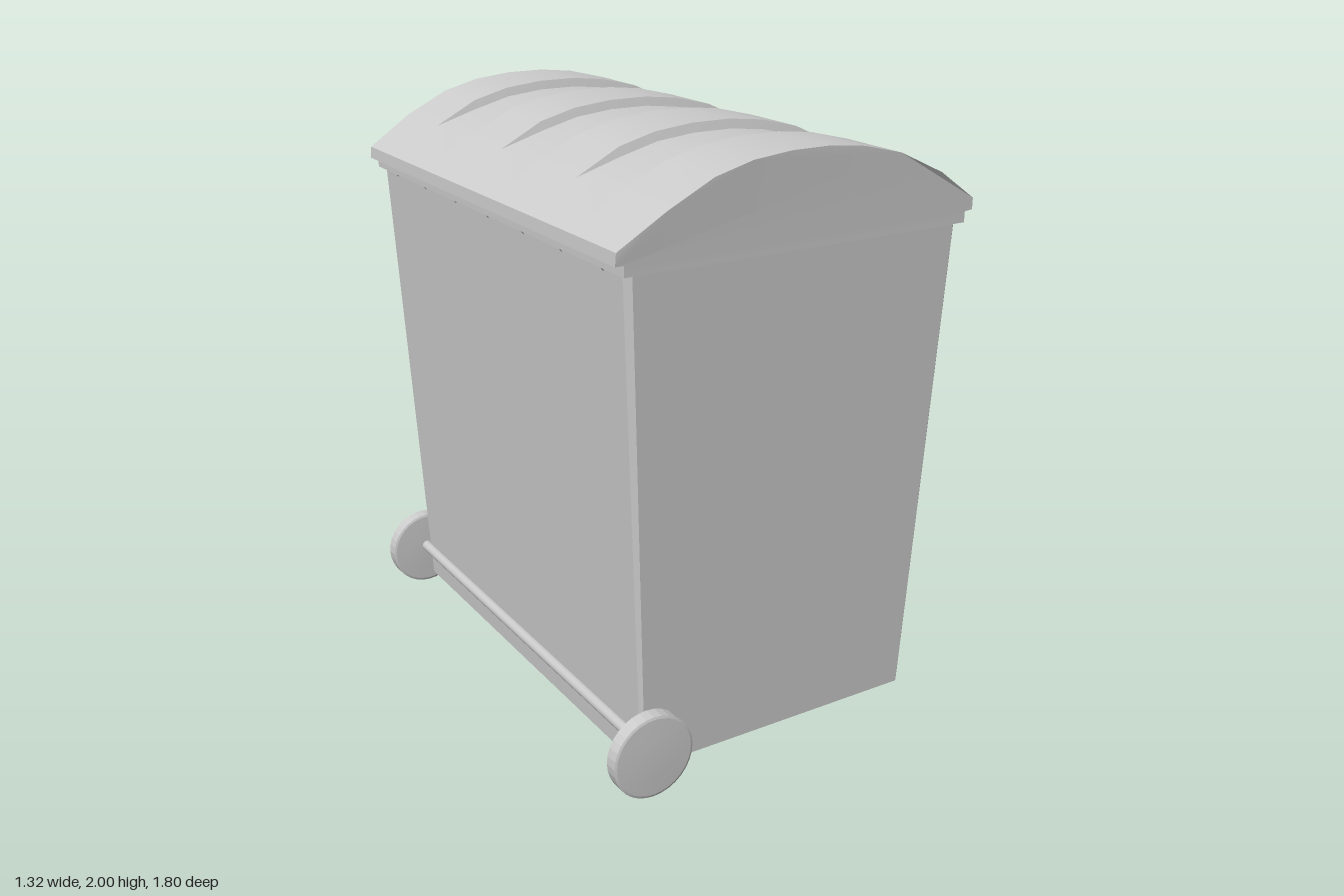
import * as THREE from 'three';
import { toCreasedNormals } from 'three/addons/utils/BufferGeometryUtils.js';
import { ConvexGeometry } from 'three/addons/geometries/ConvexGeometry.js';

const material = new THREE.MeshStandardMaterial({ color: 0xcccccc });

function add(parent, name, geometry, x = 0, y = 0, z = 0) {
  const mesh = new THREE.Mesh(geometry, material);
  mesh.name = name;
  mesh.position.set(x, y, z);
  parent.add(mesh);
  return mesh;
}

// Rectangle with cut corners at height y
function ring(y, x0, x1, z, cut) {
  const points = [];
  for (const s of [-1, 1]) {
    points.push(new THREE.Vector3(x0, y, s * (z - cut)), new THREE.Vector3(x0 + cut, y, s * z));
    points.push(new THREE.Vector3(x1, y, s * (z - cut)), new THREE.Vector3(x1 - cut, y, s * z));
  }
  return points;
}

// Arched lid: one closed cross-section swept along z, pressed in at three recesses
function lidGeometry() {
  const section = [
    [-0.615, 1.7], [-0.615, 1.735], [-0.643, 1.735], [-0.64, 1.775],
    [-0.485, 1.875], [-0.33, 1.952], [-0.2, 1.986], [-0.065, 2],
    [0.075, 2], [0.2, 1.986], [0.34, 1.952], [0.505, 1.875],
    [0.655, 1.775], [0.655, 1.738], [0.625, 1.735], [0.625, 1.7],
  ];
  const stations = [{ z: -0.9, drop: 0 }];
  for (const c of [-0.513, -0.004, 0.508]) {
    stations.push({ z: c - 0.13, drop: 0 }, { z: c - 0.121, drop: 0.03 });
    stations.push({ z: c + 0.121, drop: 0.03 }, { z: c + 0.13, drop: 0 });
  }
  stations.push({ z: 0.9, drop: 0 });

  const n = section.length;
  const positions = [];
  const index = [];
  for (const { z, drop } of stations) {
    for (const [x, y] of section) {
      const corner = Math.abs(z) === 0.9 && Math.abs(x) > 0.6 ? 0.015 : 0;
      positions.push(x, y - (Math.abs(x) < 0.4 ? drop : 0), z - Math.sign(z) * corner);
    }
  }
  for (let j = 0; j < stations.length - 1; j++) {
    for (let i = 0; i < n; i++) {
      const a = j * n + i, b = j * n + (i + 1) % n;
      index.push(a, a + n, b, b, a + n, b + n);
    }
  }
  // End walls
  const outline = section.map(([x, y]) => new THREE.Vector2(x, y));
  const last = (stations.length - 1) * n;
  for (const [a, b, c] of THREE.ShapeUtils.triangulateShape(outline, [])) {
    const facesFront = THREE.ShapeUtils.area([outline[a], outline[b], outline[c]]) > 0;
    const [p, q] = facesFront ? [b, c] : [c, b];
    index.push(last + a, last + p, last + q, a, q, p);
  }
  const geometry = new THREE.BufferGeometry();
  geometry.setAttribute('position', new THREE.Float32BufferAttribute(positions, 3));
  geometry.setIndex(index);
  return toCreasedNormals(geometry, 0.3);
}

// Disc with slightly domed faces and a faceted tread
function wheelGeometry() {
  const profile = [[0, -0.03], [0.07, -0.029], [0.135, -0.026], [0.143, -0.023],
    [0.143, 0.023], [0.135, 0.026], [0.07, 0.029], [0, 0.03]];
  const geometry = new THREE.LatheGeometry(profile.map(([r, y]) => new THREE.Vector2(r, y)), 32);
  return toCreasedNormals(geometry.rotateX(Math.PI / 2), 0.19);
}

// Triangular rib pointing down, thickest at the top
function ribGeometry() {
  const points = [new THREE.Vector3(-0.03, -0.05, 0)];
  for (const z of [-0.008, 0.008]) {
    points.push(new THREE.Vector3(-0.03, 0.01, z), new THREE.Vector3(0.012, 0.01, z));
  }
  return new ConvexGeometry(points);
}

export function createModel() {
  const group = new THREE.Group();
  group.name = 'wheeledBin';

  // Tapered body
  add(group, 'body', new ConvexGeometry([
    ...ring(0.05, -0.515, 0.535, 0.815, 0.01),
    ...ring(1.72, -0.6, 0.615, 0.87, 0.02),
  ]));

  add(group, 'lid', lidGeometry());

  // Ribs under the lid on both long sides
  const rib = ribGeometry();
  for (let i = -3; i <= 3; i++) {
    add(group, 'rightRib', rib, -0.603, 1.7, i * 0.247).rotation.y = Math.PI;
    add(group, 'leftRib', rib, 0.616, 1.7, i * 0.247);
  }

  // Axle and wheels
  const wheel = wheelGeometry();
  add(group, 'axle', new THREE.CylinderGeometry(0.02, 0.02, 1.74, 12).rotateX(Math.PI / 2), -0.525, 0.155, 0);
  for (const side of [-1, 1]) {
    add(group, side > 0 ? 'frontWheel' : 'backWheel', wheel, -0.52, 0.143, side * 0.87);
  }
  return group;
}
